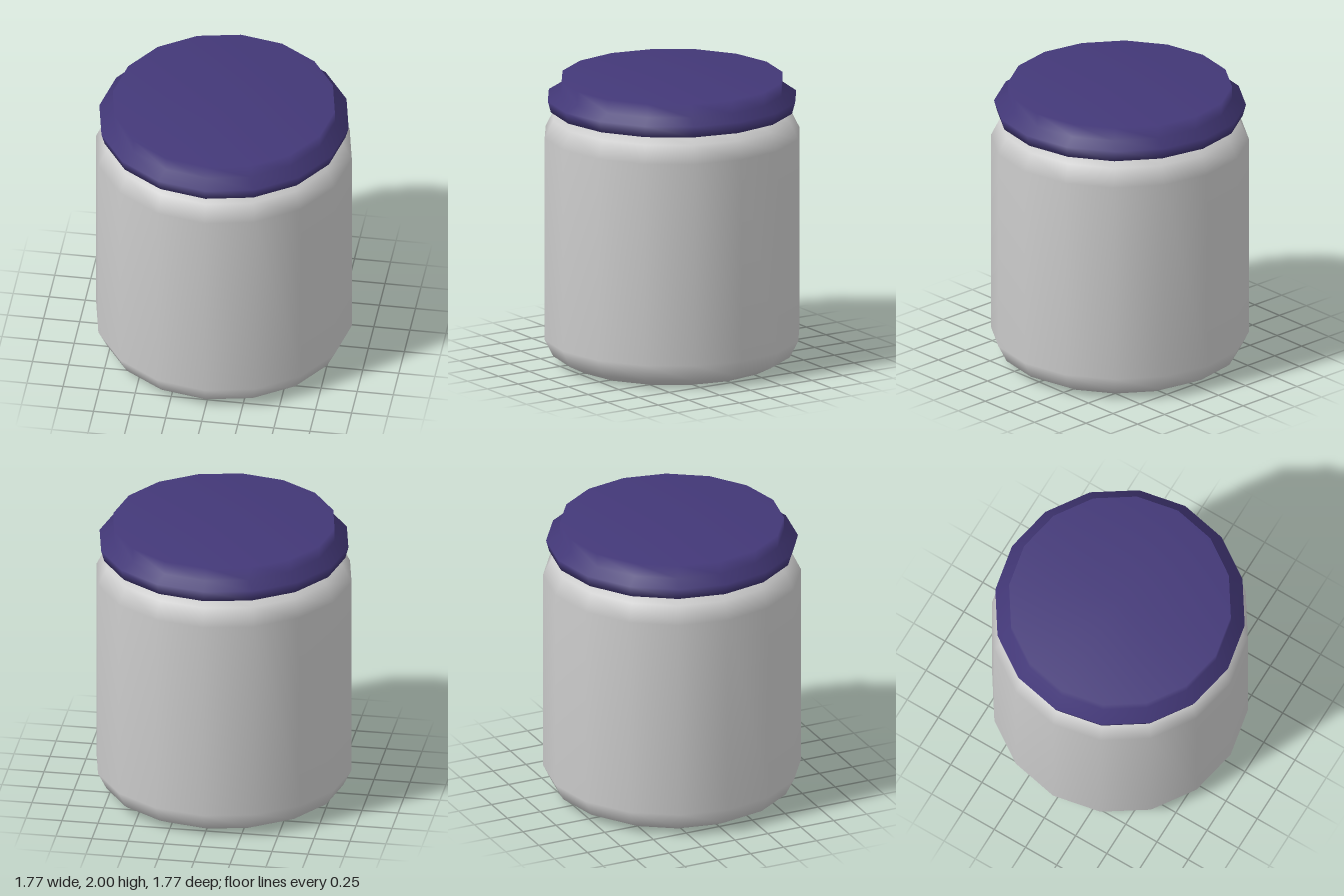
import * as THREE from 'three';

const SIDES = 16;

// Smooth-shaded turned part from [radius, height] pairs, listed bottom to top
function turned(name, profile, color) {
  const points = profile.map(([r, y]) => new THREE.Vector2(r, y));
  const mesh = new THREE.Mesh(
    new THREE.LatheGeometry(points, SIDES),
    new THREE.MeshStandardMaterial({ color })
  );
  mesh.name = name;
  return mesh;
}

export function createModel() {
  const jar = new THREE.Group();
  jar.name = 'jar';

  // Jar body with rounded base and shoulder
  jar.add(turned('body', [
    [0, 0], [0.71, 0], [0.826, 0.06], [0.886, 0.18],
    [0.886, 1.605], [0.826, 1.725], [0.70, 1.78], [0, 1.78],
  ], 0xcccccc));

  // Lid with a flared lip and a flat raised top
  jar.add(turned('lid', [
    [0, 1.785], [0.842, 1.785], [0.864, 1.865],
    [0.768, 1.905], [0.768, 2], [0, 2],
  ], 0x433878));

  return jar;
}
